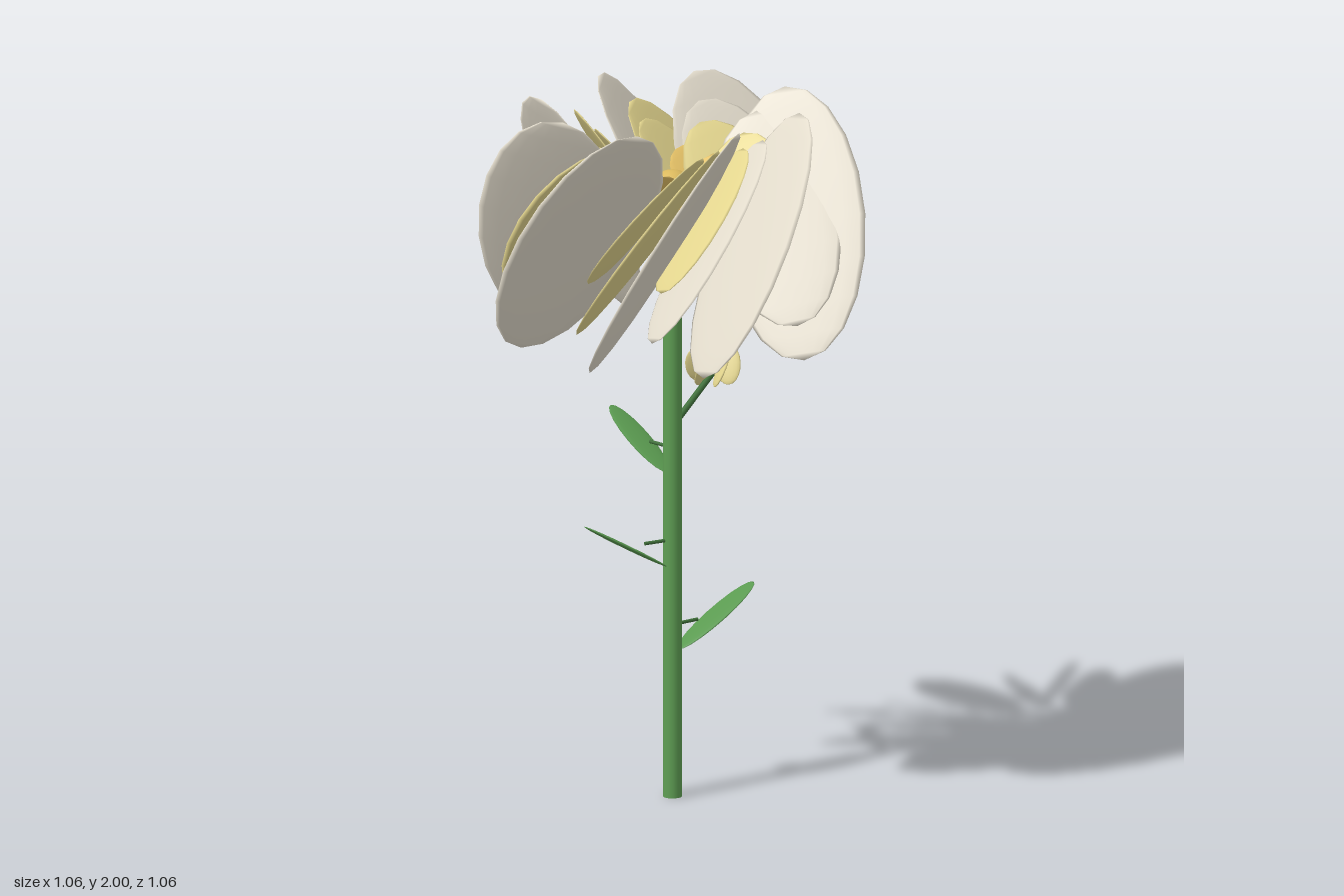
import * as THREE from 'three';

const paint = (name, color) => {
  const m = new THREE.MeshStandardMaterial({ color });
  m.name = name;
  return m;
};
const MAT = {
  white: paint('cream white', 0xe6dfcf),
  yellow: paint('pale yellow', 0xe6d890),
  gold: paint('gold', 0xe8c468),
  centre: paint('deep gold', 0xdcba5e),
  stem: paint('stem green', 0x5f9f54),
  leaf: paint('leaf green', 0x5a9a50),
  stalk: paint('dark green', 0x3f6f3a),
};
const V = (x, y, z) => new THREE.Vector3(x, y, z);

function add(parent, name, geometry, material) {
  const m = new THREE.Mesh(geometry, material);
  m.name = name;
  parent.add(m);
  return m;
}

// Flat ellipsoid blade: long half-axis along "long", half width across "side"
function blade(parent, name, material, centre, long, side, half, thick) {
  const y = long.clone().normalize();
  const z = y.clone().cross(side).normalize();
  const x = y.clone().cross(z).normalize();
  const geo = new THREE.SphereGeometry(1, 16, 10);
  geo.scale(half, long.length(), thick);
  geo.applyMatrix4(new THREE.Matrix4().makeBasis(x, y, z));
  const m = add(parent, name, geo, material);
  m.position.copy(centre);
  return m;
}

// Straight round rod between two points
function rod(parent, name, material, a, b, r) {
  const d = b.clone().sub(a);
  const m = add(parent, name, new THREE.CylinderGeometry(r, r, d.length(), 12), material);
  m.position.copy(a).add(b).multiplyScalar(0.5);
  m.quaternion.setFromUnitVectors(V(0, 1, 0), d.normalize());
  return m;
}

// Pinwheel ring of twisted petals; local x is tangent, local z points outwards
function petalRing(parent, name, angles, o) {
  angles.forEach((deg, i) => {
    const pivot = new THREE.Group();
    pivot.name = name + 'Pivot';
    pivot.rotation.y = THREE.MathUtils.degToRad(90 - deg);
    parent.add(pivot);
    blade(pivot, name, o.mats[i % o.mats.length], V(o.t, o.y, o.r), V(...o.long), V(-0.26, 0.27, 0.93), o.half, o.thick);
  });
}

export function createModel() {
  const flower = new THREE.Group();
  flower.name = 'flower';

  // Stem
  rod(flower, 'stem', MAT.stem, V(0, 0, 0), V(0, 1.7, 0), 0.027);

  // Blossom, from the outer ring inwards
  const blossom = new THREE.Group();
  blossom.name = 'blossom';
  flower.add(blossom);
  const { white, yellow, gold } = MAT;
  petalRing(blossom, 'outerPetal', [-1, 46, 90, 136, 177, 218, 266, 310], {
    mats: [white], t: -0.06, y: 1.655, r: 0.335, long: [0.21, 0.34, 0], half: 0.205, thick: 0.012,
  });
  petalRing(blossom, 'middlePetal', [-10, 57, 90, 145, 180, 234, 272, 311], {
    mats: [white, white, yellow, yellow, yellow, yellow, yellow, white],
    t: -0.1, y: 1.67, r: 0.275, long: [0.2, 0.26, 0], half: 0.175, thick: 0.01,
  });
  petalRing(blossom, 'innerPetal', [5, 52, 95, 138, 186, 230, 273, 319], {
    mats: [yellow], t: -0.08, y: 1.71, r: 0.2, long: [0.16, 0.18, 0], half: 0.14, thick: 0.008,
  });
  petalRing(blossom, 'heartPetal', [-20, 25, 70, 115, 160, 205, 250, 295], {
    mats: [gold], t: -0.05, y: 1.75, r: 0.145, long: [0.09, 0.075, 0], half: 0.105, thick: 0.006,
  });
  const heart = add(blossom, 'flowerCentre', new THREE.SphereGeometry(0.065, 24, 16), MAT.centre);
  heart.position.y = 1.74;

  // Leaves, each with a short stalk: [base height, tip x, tip z]
  [[0.42, 0.245, -0.16], [0.665, -0.26, 0.12], [0.93, -0.15, -0.2]].forEach(([y, x, z]) => {
    const out = V(x, 0, z).normalize();
    const base = out.clone().multiplyScalar(0.02).setY(y);
    const tip = V(x, y + 0.15, z);
    const centre = base.clone().add(tip).multiplyScalar(0.5);
    const half = tip.clone().sub(base).multiplyScalar(0.5);
    blade(flower, 'leaf', MAT.leaf, centre, half, V(-out.z, 0, out.x), 0.042, 0.006);
    rod(flower, 'leafStalk', MAT.stalk, V(0, y + 0.075, 0), out.multiplyScalar(0.09).setY(y + 0.075), 0.005);
  });

  // Side bud on its own stalk
  rod(flower, 'budStalk', MAT.stalk, V(0.01, 1.075, -0.01), V(0.13, 1.18, -0.145), 0.009);
  const bud = new THREE.Group();
  bud.name = 'bud';
  bud.position.set(0.13, 1.203, -0.147);
  flower.add(bud);
  petalRing(bud, 'budPetal', [0, 60, 120, 180, 240, 300], {
    mats: [yellow], t: 0, y: 0, r: 0.042, long: [0.026, 0.054, 0], half: 0.037, thick: 0.007,
  });

  return flower;
}
